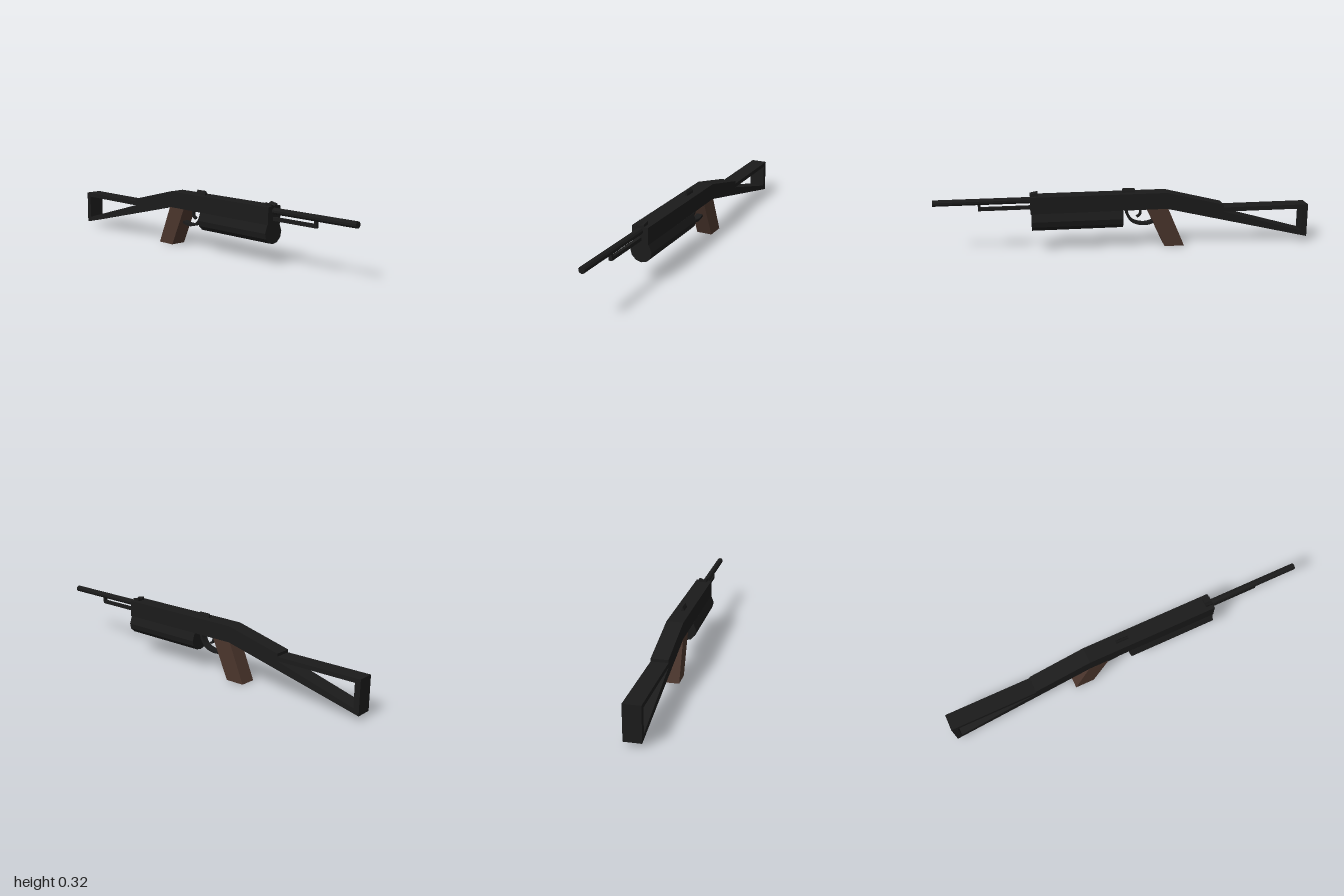
import * as THREE from 'three';

const BLACK = 0x1b1b1b, BROWN = 0x4a352c;

function mat(color, side = THREE.FrontSide) {
  const m = new THREE.MeshStandardMaterial({ color, flatShading: true });
  m.side = side;
  return m;
}

function part(name, geometry, color = BLACK) {
  const mesh = new THREE.Mesh(geometry, mat(color));
  mesh.name = name;
  return mesh;
}

const points = (list) => list.map(([a, b]) => new THREE.Vector2(a, b));

// Side outline given as [z, y], extruded across x and centred on x = 0
function slab(outline, width, hole) {
  const shape = new THREE.Shape(points(outline));
  if (hole) shape.holes.push(new THREE.Path(points(hole)));
  return new THREE.ExtrudeGeometry(shape, { depth: width, bevelEnabled: false })
    .translate(0, 0, -width / 2).rotateY(-Math.PI / 2);
}

// Front outline given as [x, y], extruded from z0 to z1
function bar(outline, z0, z1) {
  return new THREE.ExtrudeGeometry(new THREE.Shape(points(outline)), { depth: z1 - z0, bevelEnabled: false })
    .translate(0, 0, z0);
}

// Curved strip: offsets a smooth [z, y] path to both sides and extrudes it
function strip(path, thickness, width, steps) {
  const curve = new THREE.SplineCurve(points(path));
  const a = [], b = [];
  for (let i = 0; i <= steps; i++) {
    const p = curve.getPoint(i / steps), t = curve.getTangent(i / steps);
    const nx = -t.y * thickness / 2, ny = t.x * thickness / 2;
    a.push([p.x + nx, p.y + ny]);
    b.unshift([p.x - nx, p.y - ny]);
  }
  return slab([...a, ...b], width);
}

export function createModel() {
  const group = new THREE.Group();
  group.name = 'longGun';

  // Receiver flowing into the open skeleton stock
  group.add(part('receiverAndStock', slab(
    [[0.5, 0.295], [-0.22, 0.295], [-0.53, 0.218], [-0.53, 0.203], [-1, 0.203],
      [-1, 0.022], [-0.22, 0.208], [0.5, 0.205]], 0.088,
    [[-0.53, 0.18], [-0.97, 0.18], [-0.97, 0.055]])));

  // Rounded fore-end under the receiver
  const half = [[0.044, 0.206], [0.059, 0.165], [0.052, 0.136], [0.029, 0.113]];
  const mirrored = half.map(([x, y]) => [-x, y]).reverse();
  group.add(part('foreEnd', bar([...half, [0, 0.106], ...mirrored], 0.015, 0.495)));

  // Barrel
  group.add(part('barrel', new THREE.CylinderGeometry(0.017, 0.017, 0.52, 10)
    .rotateX(Math.PI / 2).translate(0, 0.272, 0.74)));

  // Rod below the barrel with its front bracket
  group.add(part('rod', new THREE.BoxGeometry(0.017, 0.018, 0.28).translate(0, 0.233, 0.63)));
  group.add(part('rodBracket', new THREE.BoxGeometry(0.017, 0.036, 0.014).translate(0, 0.242, 0.763)));

  // Notched sight at the front of the receiver
  const sight = bar([[-0.022, 0.29], [0.022, 0.29], [0.022, 0.315], [0.012, 0.311],
    [0, 0.304], [-0.012, 0.311], [-0.022, 0.315]], 0.46, 0.5);
  const pos = sight.attributes.position;
  for (let i = 0; i < pos.count; i++) { // front face slopes down
    if (pos.getZ(i) > 0.48 && pos.getY(i) > 0.3) pos.setY(i, pos.getY(i) - 0.008);
  }
  sight.computeVertexNormals();
  group.add(part('notchSight', sight));

  // Narrow ridge sight
  group.add(part('ridgeSight', bar([[-0.009, 0.29], [0.009, 0.29], [0.006, 0.306], [0, 0.318], [-0.006, 0.306]],
    -0.052, 0.015)));

  // Trigger guard and trigger
  group.add(part('triggerGuard', strip(
    [[-0.005, 0.215], [-0.012, 0.175], [-0.04, 0.138], [-0.085, 0.123], [-0.125, 0.124], [-0.165, 0.138]],
    0.014, 0.036, 16)));
  group.add(part('trigger', strip(
    [[-0.075, 0.215], [-0.083, 0.19], [-0.078, 0.17], [-0.062, 0.16]], 0.012, 0.014, 8)));

  // Slanted pistol grip
  group.add(part('grip', slab([[-0.113, 0.212], [-0.225, 0.212], [-0.315, 0], [-0.21, 0]], 0.0875), BROWN));

  return group;
}
